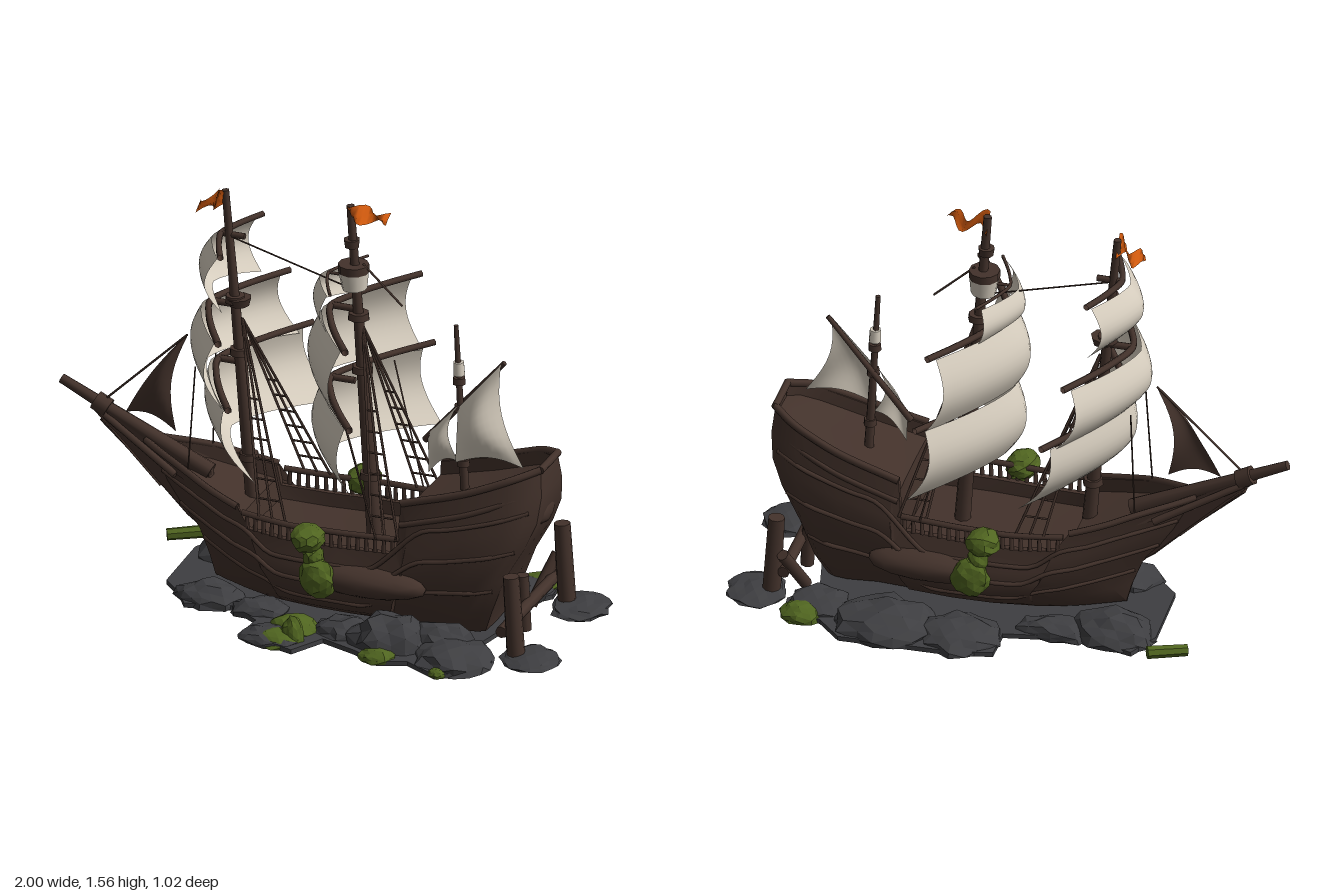
import * as THREE from 'three';
import { toCreasedNormals, mergeVertices } from 'three/addons/utils/BufferGeometryUtils.js';

const mat = (name, color, extra = {}) => {
  const m = new THREE.MeshStandardMaterial({ color, ...extra });
  m.name = name;
  return m;
};
const V = (x, y, z = 0) => new THREE.Vector3(x, y, z);
const lerp = THREE.MathUtils.lerp;

// Linear lookup of column k in a table sorted by column 0
function look(table, x, k = 1) {
  let i = 1;
  while (i < table.length - 1 && x > table[i][0]) i++;
  const a = table[i - 1], b = table[i];
  return lerp(a[k], b[k], THREE.MathUtils.clamp((x - a[0]) / (b[0] - a[0]), 0, 1));
}

export function createModel() {
  const root = new THREE.Group();
  const two = { side: THREE.DoubleSide };
  const wood = mat('dark wood', 0x43322b, two);
  const cloth = mat('sail cloth', 0xd6cdbe, two);
  const stone = mat('rock', 0x3e3e41, { flatShading: true });
  const moss = mat('seaweed green', 0x506520, { flatShading: true });
  const red = mat('flag orange', 0xd65c0e, two);

  let seed = 7;
  const rnd = () => (seed = (seed * 16807) % 2147483647) / 2147483647;
  const add = (name, geo, m) => {
    const mesh = new THREE.Mesh(geo, m);
    mesh.name = name;
    root.add(mesh);
    return mesh;
  };
  // Tapered round bar between two points
  const bar = (name, a, b, r0, r1 = r0, m = wood, sides = 8) => {
    const d = b.clone().sub(a);
    const mesh = add(name, new THREE.CylinderGeometry(r1, r0, d.length(), sides), m);
    mesh.position.copy(a).addScaledVector(d, 0.5);
    mesh.quaternion.setFromUnitVectors(V(0, 1), d.normalize());
  };
  const tube = (name, pts, r, m = wood, n = 32) =>
    add(name, new THREE.TubeGeometry(new THREE.CatmullRomCurve3(pts), n, r, 6), m);
  // Uneven lump: jittered icosahedron, flat where it meets the ground
  const lump = (name, m, x, y, z, sx, sy, sz, rough = 0.18) => {
    const g = mergeVertices(new THREE.IcosahedronGeometry(1, 2).deleteAttribute('normal').deleteAttribute('uv'), 1e-3);
    const p = g.attributes.position;
    for (let i = 0; i < p.count; i++) {
      const k = 1 - rough * rnd();
      p.setXYZ(i, p.getX(i) * k * sx, Math.max(p.getY(i) * k * sy, 0.012 - y), p.getZ(i) * k * sz);
    }
    g.computeVertexNormals();
    add(name, g, m).position.set(x, y, z);
  };

  // Hull stations: x at the rail, rail height, half width
  const stations = [[-0.68, 0.53, 0.012], [-0.6, 0.51, 0.06], [-0.47, 0.48, 0.13], [-0.35, 0.44, 0.18],
    [-0.24, 0.41, 0.21], [-0.225, 0.335, 0.212], [-0.05, 0.325, 0.235], [0.15, 0.33, 0.24], [0.37, 0.335, 0.228],
    [0.385, 0.53, 0.212], [0.6, 0.59, 0.195], [0.76, 0.65, 0.16], [0.83, 0.68, 0.125], [0.87, 0.69, 0.085]];
  // Level: 0 keel to 1 rail, bow x, stern x, width factor
  const levels = [[0, -0.4, 0.67, 0.6], [0.15, -0.42, 0.71, 0.9], [0.36, -0.46, 0.76, 1.07],
    [0.55, -0.54, 0.83, 1.1], [0.7, -0.59, 0.87, 1.06], [0.85, -0.63, 0.88, 1.0], [1, -0.68, 0.87, 0.95]];
  const hullPoint = (x, t, side) => {
    const s = (x + 0.68) / 1.55;
    const fat = look(stations, x, 2) + Math.max(0, x - 0.6) * 0.34 * (1 - t);
    return V(lerp(look(levels, t, 1), look(levels, t, 2), s),
      lerp(0.04, look(stations, x), t), side * fat * look(levels, t, 3));
  };
  const section = (x, side) => {
    const pts = levels.map(l => hullPoint(x, l[0], side));
    const rail = pts[pts.length - 1];
    pts.unshift(V(pts[0].x, 0.035, 0));
    pts.push(V(rail.x, rail.y, rail.z * 0.9), V(rail.x, rail.y - 0.05, rail.z * 0.88), V(rail.x, rail.y - 0.045, 0));
    return pts;
  };
  const hullPos = [];
  const quad = (a, b, c, d) => [a, b, c, a, c, d].forEach(p => hullPos.push(p.x, p.y, p.z));
  for (const side of [1, -1]) {
    for (let i = 0; i < stations.length - 1; i++) {
      const a = section(stations[i][0], side), b = section(stations[i + 1][0], side);
      for (let j = 0; j < a.length - 1; j++) {
        if (side > 0) quad(a[j], b[j], b[j + 1], a[j + 1]);
        else quad(a[j], a[j + 1], b[j + 1], b[j]);
      }
    }
  }
  // Transom strips close the stern
  const sl = section(0.87, 1), sr = section(0.87, -1);
  for (let j = 0; j < levels.length; j++) quad(sl[j], sr[j], sr[j + 1], sl[j + 1]);
  const hullGeo = new THREE.BufferGeometry();
  hullGeo.setAttribute('position', new THREE.Float32BufferAttribute(hullPos, 3));
  add('hull', toCreasedNormals(hullGeo, 0.7), wood);

  // Strakes, rails and balusters
  for (const side of [1, -1]) {
    for (const t of [0.3, 0.55, 0.78]) {
      const pts = [];
      for (let x = -0.66; x < 0.87; x += 0.1) if (Math.abs(x - 0.36) > 0.04) pts.push(hullPoint(x, t, side));
      tube('strake', pts, 0.009, wood, 48);
    }
    const foreRail = [], midRail = [], aftRail = [];
    for (let k = 0; k <= 6; k++) {
      foreRail.push(hullPoint(lerp(-0.66, -0.24, k / 6), 1, side));
      midRail.push(hullPoint(lerp(-0.22, 0.37, k / 6), 1, side).add(V(0, 0.058)));
      aftRail.push(hullPoint(lerp(0.385, 0.87, k / 6), 1, side));
    }
    tube('foreRail', foreRail, 0.013);
    tube('waistRail', midRail, 0.012);
    tube('aftRail', aftRail, 0.014);
    tube('aftMoulding', aftRail.map(p => V(p.x, p.y - 0.08, p.z * 1.06)), 0.011);
    for (let k = 0; k < 18; k++) {
      const p = hullPoint(lerp(-0.2, 0.36, k / 17), 1, side);
      bar('baluster', p, p.clone().add(V(0, 0.055)), 0.009, 0.007, wood, 5);
    }
    lump('hullBulge', wood, 0.26, 0.22, side * 0.235, 0.24, 0.06, 0.075, 0.06);
  }
  bar('sternRail', V(0.87, 0.69, -0.085), V(0.87, 0.69, 0.085), 0.014);
  lump('sternCarving', wood, 0.85, 0.5, 0, 0.03, 0.05, 0.08, 0.1);

  // Bow knee and bowsprit
  const knee = new THREE.Shape([[-0.8, 0.61], [-0.83, 0.57], [-0.63, 0.39], [-0.5, 0.26], [-0.42, 0.2], [-0.42, 0.45], [-0.6, 0.52]]
    .map(p => new THREE.Vector2(...p)));
  add('bowKnee', new THREE.ExtrudeGeometry(knee, { depth: 0.03, bevelSize: 0.006, bevelThickness: 0.006, bevelSegments: 1 }), wood).position.z = -0.015;
  bar('bowsprit', V(-0.42, 0.43), V(-0.99, 0.7), 0.034, 0.018);
  bar('bowspritCollar', V(-0.81, 0.612), V(-0.86, 0.638), 0.036);
  for (const z of [0.03, -0.03]) {
    bar('bowRope', V(-0.87, 0.62, z / 2), V(-0.6, 0.36, z), 0.004);
    bar('bowBrace', V(-0.83, 0.6, z / 2), V(-0.52, 0.44, z * 3), 0.012, 0.014);
  }

  // Masts with bands and tops
  const masts = [['foreMast', V(-0.255, 0.28), V(-0.365, 1.54), 0.028], ['mainMast', V(0.205, 0.28), V(0.112, 1.56), 0.03],
    ['mizzenMast', V(0.55, 0.5), V(0.515, 1.16), 0.018]];
  for (const [name, a, b, r] of masts) {
    bar(name, a, b, r, r * 0.5);
    for (const k of [0.18, 0.5, 0.66]) {
      const p = a.clone().lerp(b, k);
      bar('mastBand', p, p.clone().add(V(0, 0.025)), r * 1.35, r * 1.25);
    }
  }
  bar('crowsNest', V(0.128, 1.24), V(0.124, 1.31), 0.045, 0.055, cloth, 10);
  bar('crowsNestRim', V(0.124, 1.305), V(0.124, 1.335), 0.056, 0.056, wood, 10);
  bar('mastCap', V(0.118, 1.4), V(0.117, 1.43), 0.026, 0.03);
  bar('foreTop', V(-0.31, 1.1), V(-0.312, 1.13), 0.035, 0.045);
  bar('mizzenFurl', V(0.527, 0.97), V(0.525, 1.02), 0.022, 0.02, cloth);

  // Square sails: top y, bottom y, centre x top and bottom, half width top and bottom, belly, sweep, yard radius
  const sails = [['foreTopSail', 1.36, 1.15, -0.41, -0.41, 0.19, 0.19, 0.05, 0.09, 0.012],
    ['foreMiddleSail', 1.09, 0.85, -0.45, -0.43, 0.32, 0.36, 0.05, 0.17, 0.013],
    ['foreLowerSail', 0.87, 0.6, -0.42, -0.34, 0.38, 0.38, 0.05, 0.2, 0.013],
    ['mainTopSail', 1.275, 1.14, 0.0, -0.01, 0.17, 0.19, 0.02, 0.09, 0.006],
    ['mainMiddleSail', 1.15, 0.86, 0.01, 0.0, 0.34, 0.37, 0.05, 0.2, 0.013],
    ['mainLowerSail', 0.87, 0.575, 0.01, 0.03, 0.38, 0.39, 0.05, 0.23, 0.013]];
  for (const [name, yt, yb, xt, xb, wt, wb, belly, sweep, r] of sails) {
    const g = new THREE.PlaneGeometry(2, 1, 20, 10), p = g.attributes.position;
    for (let i = 0; i < p.count; i++) {
      const u = p.getX(i), v = 0.5 - p.getY(i);
      const swell = Math.sin(Math.PI * v);
      p.setXYZ(i, lerp(xt, xb, v) - belly * swell + sweep * lerp(1, 1.2, v) * Math.abs(u) ** 1.4,
        lerp(yt, yb, v) + 0.025 * v * v * (1 - u * u),
        u * (lerp(wt, wb, v) + 0.02 * swell));
    }
    g.computeVertexNormals();
    add(name, g, cloth);
    const yard = [-1.07, -0.7, -0.35, 0, 0.35, 0.7, 1.07].map(u =>
      V(xt + 0.03 + (sweep - 0.02) * Math.abs(u) ** 1.35, yt + 0.01, u * wt));
    tube('yard', yard, r);
    bar('yardSling', V(xt + 0.03, yt + 0.01), V(xt + 0.12, yt + 0.01), r);
  }

  // Curved fore-and-aft sails from four corners; luff sets how far the leading edge curves
  const patch = (name, a, b, c, d, bulge, luff, m) => {
    const g = new THREE.PlaneGeometry(1, 1, 10, 10), p = g.attributes.position;
    for (let i = 0; i < p.count; i++) {
      const u = p.getX(i) + 0.5, v = 0.5 - p.getY(i);
      const q = a.clone().lerp(b, u).lerp(d.clone().lerp(c, u), v);
      const swell = Math.sin(Math.PI * u) * Math.sin(Math.PI * v);
      p.setXYZ(i, q.x - 0.04 * Math.sin(Math.PI * v) * lerp(luff, 1, u), q.y + 0.03 * Math.sin(Math.PI * u) * v, q.z + bulge * swell);
    }
    g.computeVertexNormals();
    add(name, g, m);
  };
  patch('jib', V(-0.53, 0.93), V(-0.51, 0.945), V(-0.545, 0.575, 0.02), V(-0.745, 0.61), 0.04, 0.4, wood);
  bar('jibStay', V(-0.85, 0.62), V(-0.51, 0.95), 0.004);
  patch('mizzenSail', V(0.53, 0.85, 0.02), V(0.69, 1.04, 0.01), V(0.8, 0.68, 0.07), V(0.54, 0.66, 0.07), 0.05, 0, cloth);
  patch('mizzenForeSail', V(0.4, 0.71, -0.02), V(0.53, 0.86, 0.02), V(0.54, 0.65, 0.04), V(0.41, 0.57, 0), 0.03, 0, cloth);
  bar('mizzenYard', V(0.385, 0.68, -0.03), V(0.7, 1.045, 0), 0.013, 0.009);

  // Shrouds with ladder rungs, and stays
  for (const side of [1, -1]) {
    for (const [top, x0] of [[V(-0.3, 1.05), -0.1], [V(0.16, 1.1), 0.33]]) {
      const feet = [-0.05, 0, 0.05].map(dx => V(x0 + dx, 0.39, side * look(stations, x0, 2) * 0.95));
      feet.forEach(f => bar('shroud', top, f, 0.005, 0.005, wood, 5));
      for (let k = 0.4; k < 1; k += 0.1)
        bar('shroudRung', top.clone().lerp(feet[0], k), top.clone().lerp(feet[2], k), 0.004, 0.004, wood, 5);
    }
    bar('sheet', V(-0.44, 0.88, side * 0.1), V(-0.46, 0.48, side * 0.12), 0.003, 0.003, wood, 4);
    bar('sheet', V(0.18, 0.86, side * 0.25), V(0.3, 0.39, side * 0.23), 0.004, 0.004, wood, 4);
  }
  bar('topStay', V(-0.34, 1.36), V(0.1, 1.24), 0.003);
  bar('backStay', V(0.16, 1.34), V(0.31, 1.2), 0.004);

  // Waving flags
  for (const [x, y, len, drop, h] of [[-0.365, 1.515, -0.1, -0.055, 0.075], [0.11, 1.53, 0.15, 0, 0.07]]) {
    const g = new THREE.PlaneGeometry(1, 1, 12, 2), p = g.attributes.position;
    for (let i = 0; i < p.count; i++) {
      const u = p.getX(i) + 0.5;
      p.setXYZ(i, x + u * len, y + p.getY(i) * h * (1 - 0.6 * u) + drop * u + 0.008 * Math.sin(u * 9), 0.035 * Math.sin(u * 9 + 2 * p.getY(i)));
    }
    g.computeVertexNormals();
    add('flag', g, red);
  }

  // Rocky ground slab and boulders
  const outline = [[-0.56, -0.2], [-0.5, -0.32], [-0.3, -0.27], [-0.03, -0.32], [-0.03, -0.45], [0.1, -0.48], [0.53, -0.49], [0.62, -0.4],
    [0.76, -0.38], [0.77, -0.29], [0.68, -0.18], [0.72, 0], [0.68, 0.2], [0.78, 0.32], [0.74, 0.43], [0.63, 0.5], [0.5, 0.43], [0.4, 0.47],
    [0.29, 0.41], [0.15, 0.36], [0.08, 0.49], [-0.14, 0.42], [-0.13, 0.3], [-0.25, 0.22], [-0.42, 0.26], [-0.47, 0.18], [-0.55, 0.1]];
  const slab = add('rockBase', new THREE.ExtrudeGeometry(new THREE.Shape(outline.map(([x, z]) => new THREE.Vector2(x, -z))),
    { depth: 0.018, bevelEnabled: false }), stone);
  slab.rotation.x = -Math.PI / 2;
  slab.position.y = 0.012;
  for (const [x, z, rx, h, rz] of [[0.12, -0.36, 0.17, 0.07, 0.15], [0.4, -0.35, 0.22, 0.09, 0.17], [0.65, -0.29, 0.13, 0.06, 0.12],
    [-0.4, -0.2, 0.18, 0.1, 0.13], [-0.2, -0.24, 0.16, 0.06, 0.08], [-0.36, 0.16, 0.14, 0.07, 0.11], [-0.03, 0.4, 0.13, 0.045, 0.1],
    [0.2, 0.27, 0.13, 0.07, 0.1], [0.38, 0.3, 0.17, 0.13, 0.14], [0.64, 0.34, 0.17, 0.07, 0.16], [0.55, 0.24, 0.15, 0.1, 0.1],
    [-0.15, 0.2, 0.12, 0.05, 0.09], [0.89, -0.25, 0.12, 0.03, 0.13], [0.89, 0.23, 0.12, 0.03, 0.12]])
    lump('boulder', stone, x, 0.02, z, rx, h, rz, 0.22);

  // Seaweed clumps on hull and rocks, and a mossy log
  for (const side of [1, -1]) {
    lump('seaweed', moss, 0.055, 0.37, side * 0.27, 0.068, 0.055, 0.075);
    lump('seaweed', moss, 0.075, 0.3, side * 0.265, 0.04, 0.06, 0.045);
    lump('seaweed', moss, 0.1, 0.225, side * 0.285, 0.078, 0.08, 0.05);
  }
  for (const [x, z, r, h] of [[0.05, 0.4, 0.05, 0.1], [0.02, 0.31, 0.1, 0.06], [0.0, 0.41, 0.1, 0.045], [0.38, 0.42, 0.075, 0.04],
    [0.63, 0.475, 0.035, 0.025], [0.7, -0.37, 0.085, 0.05]])
    lump('seaweed', moss, x, 0.022, z, r, h, r * 0.8);
  bar('mossyLog', V(-0.69, 0.032, -0.255), V(-0.56, 0.04, -0.32), 0.022, 0.024, moss, 7);

  // Mooring posts behind the stern
  for (const z of [0.24, -0.25]) bar('mooringPost', V(0.84, 0.01, z), V(0.82, 0.335, z), 0.034, 0.03, wood, 9);
  bar('crossBeam', V(0.79, 0.12, -0.27), V(0.79, 0.12, 0.26), 0.022);
  bar('shortPost', V(0.77, 0.01, -0.02), V(0.76, 0.22, -0.02), 0.025);
  bar('leaningPost', V(0.73, 0.03, -0.18), V(0.79, 0.2, -0.28), 0.022);
  return root;
}
